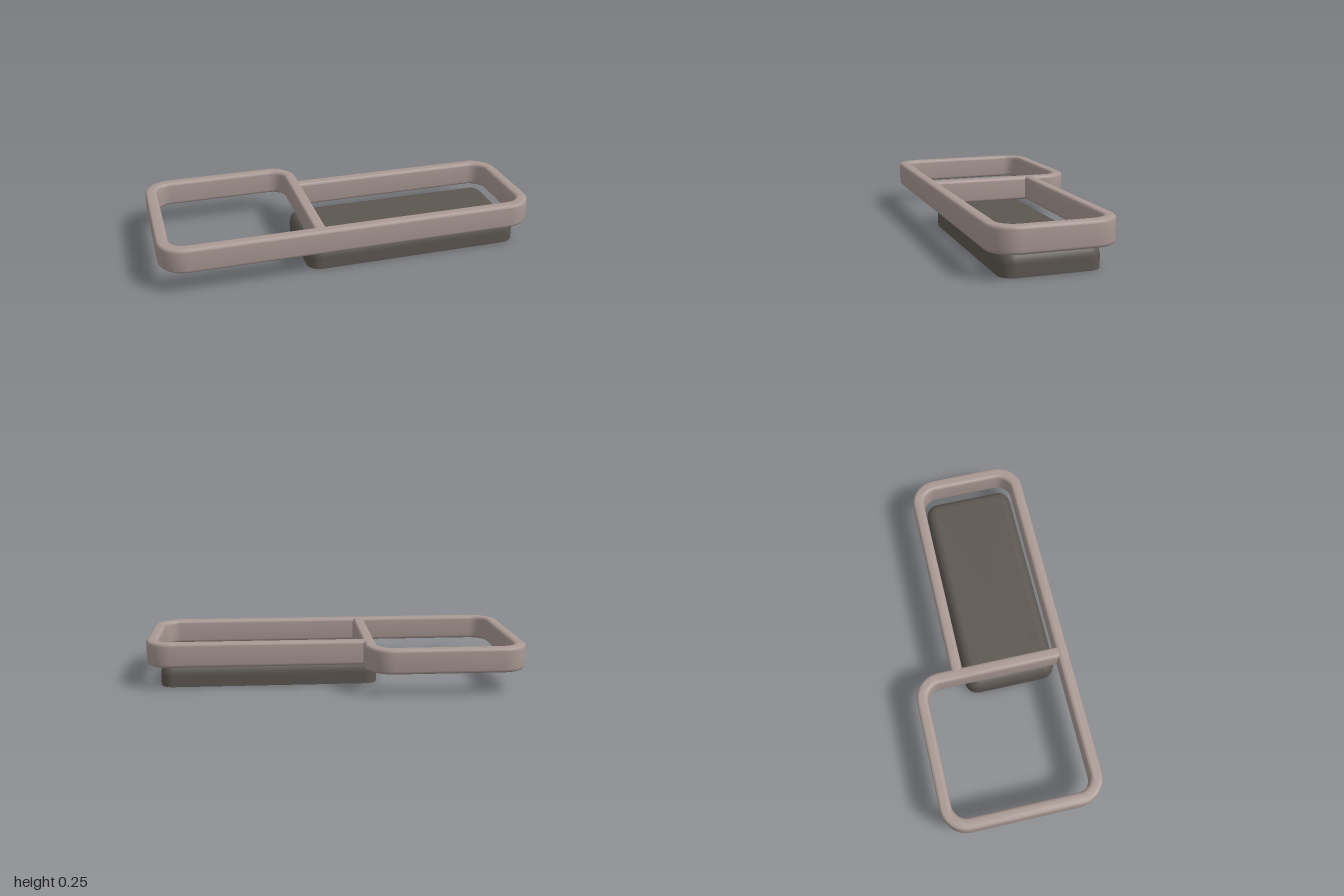
import * as THREE from 'three';
import { toCreasedNormals } from 'three/addons/utils/BufferGeometryUtils.js';

// Traces a closed plan outline of [x, z, cornerRadius] with rounded corners
function tracePlan(path, corners) {
  const n = corners.length;
  corners.forEach(([x, z, r], i) => {
    const p = new THREE.Vector2(x, z);
    const prev = new THREE.Vector2(...corners[(i + n - 1) % n].slice(0, 2));
    const next = new THREE.Vector2(...corners[(i + 1) % n].slice(0, 2));
    const a = prev.sub(p).normalize().multiplyScalar(r).add(p);
    const b = next.sub(p).normalize().multiplyScalar(r).add(p);
    if (i === 0) path.moveTo(a.x, a.y); else path.lineTo(a.x, a.y);
    if (r > 0) {
      const k = 0.5523;
      const c1 = a.clone().lerp(p, k), c2 = b.clone().lerp(p, k);
      path.bezierCurveTo(c1.x, c1.y, c2.x, c2.y, b.x, b.y);
    }
  });
  path.closePath();
  return path;
}

// Extrudes a plan shape between two heights with softly rounded edges
function softExtrude(shape, bottom, top, bevel) {
  const geo = new THREE.ExtrudeGeometry(shape, {
    depth: top - bottom - 2 * bevel, curveSegments: 12,
    bevelEnabled: true, bevelThickness: bevel, bevelSize: bevel,
    bevelOffset: -bevel, bevelSegments: 5,
  });
  geo.rotateX(Math.PI / 2).translate(0, top - bevel, 0);
  return toCreasedNormals(geo, 0.6);
}

// Shallow tray cover, open underneath, with a rounded upper edge
function coverGeometry(x0, x1, z0, z1, height, planRadius, inset, drop) {
  const steps = 8, rows = [[0, 0]];
  for (let i = 0; i <= 8; i++) {
    const t = (i / 8) * Math.PI / 2;
    rows.push([inset * (1 - Math.cos(t)), height - drop + drop * Math.sin(t)]);
  }
  const centres = [
    [x1 - planRadius, z1 - planRadius], [x0 + planRadius, z1 - planRadius],
    [x0 + planRadius, z0 + planRadius], [x1 - planRadius, z0 + planRadius],
  ];
  const pos = [], index = [];
  for (const [d, y] of rows) {
    centres.forEach(([cx, cz], q) => {
      for (let s = 0; s <= steps; s++) {
        const a = (q + s / steps) * Math.PI / 2, r = planRadius - d;
        pos.push(cx + r * Math.cos(a), y, cz + r * Math.sin(a));
      }
    });
  }
  const n = 4 * (steps + 1), last = (rows.length - 1) * n, hub = rows.length * n;
  pos.push((x0 + x1) / 2, height, (z0 + z1) / 2);
  for (let j = 0; j < n; j++) {
    const k = (j + 1) % n;
    for (let i = 0; i < rows.length - 1; i++) {
      const a = i * n + j, b = i * n + k;
      index.push(a, a + n, b, b, a + n, b + n);
    }
    index.push(hub, last + k, last + j);
  }
  const geo = new THREE.BufferGeometry();
  geo.setAttribute('position', new THREE.Float32BufferAttribute(pos, 3));
  geo.setIndex(index);
  geo.computeVertexNormals();
  return geo;
}

export function createModel() {
  const frameMaterial = new THREE.MeshStandardMaterial({ color: 0xa89893 });
  frameMaterial.name = 'warm grey';
  const baseMaterial = new THREE.MeshStandardMaterial({ color: 0x5c5650, side: THREE.DoubleSide });
  baseMaterial.name = 'dark taupe';

  const model = new THREE.Group();
  model.name = 'steppedFrameOnBase';
  const add = (name, geometry, material) => {
    const mesh = new THREE.Mesh(geometry, material);
    mesh.name = name;
    model.add(mesh);
  };

  const bottom = 0.122, top = 0.255, bevel = 0.018;

  // Stepped outer frame: outline with a matching inner opening
  const outline = tracePlan(new THREE.Shape(), [
    [-1, -0.425, 0.14], [-0.153, -0.425, 0.14], [-0.153, -0.212, 0],
    [1, -0.212, 0.14], [1, 0.425, 0.14], [-1, 0.425, 0.14],
  ]);
  outline.holes.push(tracePlan(new THREE.Path(), [
    [-0.937, -0.364, 0.08], [-0.215, -0.364, 0.08], [-0.215, -0.152, 0],
    [0.937, -0.152, 0.08], [0.937, 0.363, 0.08], [-0.937, 0.363, 0.08],
  ]));
  add('frame', softExtrude(outline, bottom, top, bevel), frameMaterial);

  // Bar dividing the two openings
  const bar = tracePlan(new THREE.Shape(), [
    [-0.215, -0.25, 0], [-0.153, -0.25, 0], [-0.153, 0.385, 0], [-0.215, 0.385, 0],
  ]);
  add('dividerBar', softExtrude(bar, bottom, top, bevel), frameMaterial);

  // Mounting base under the long opening
  add('base', coverGeometry(-0.24, 0.93, -0.142, 0.36, 0.125, 0.07, 0.055, 0.065), baseMaterial);

  return model;
}
